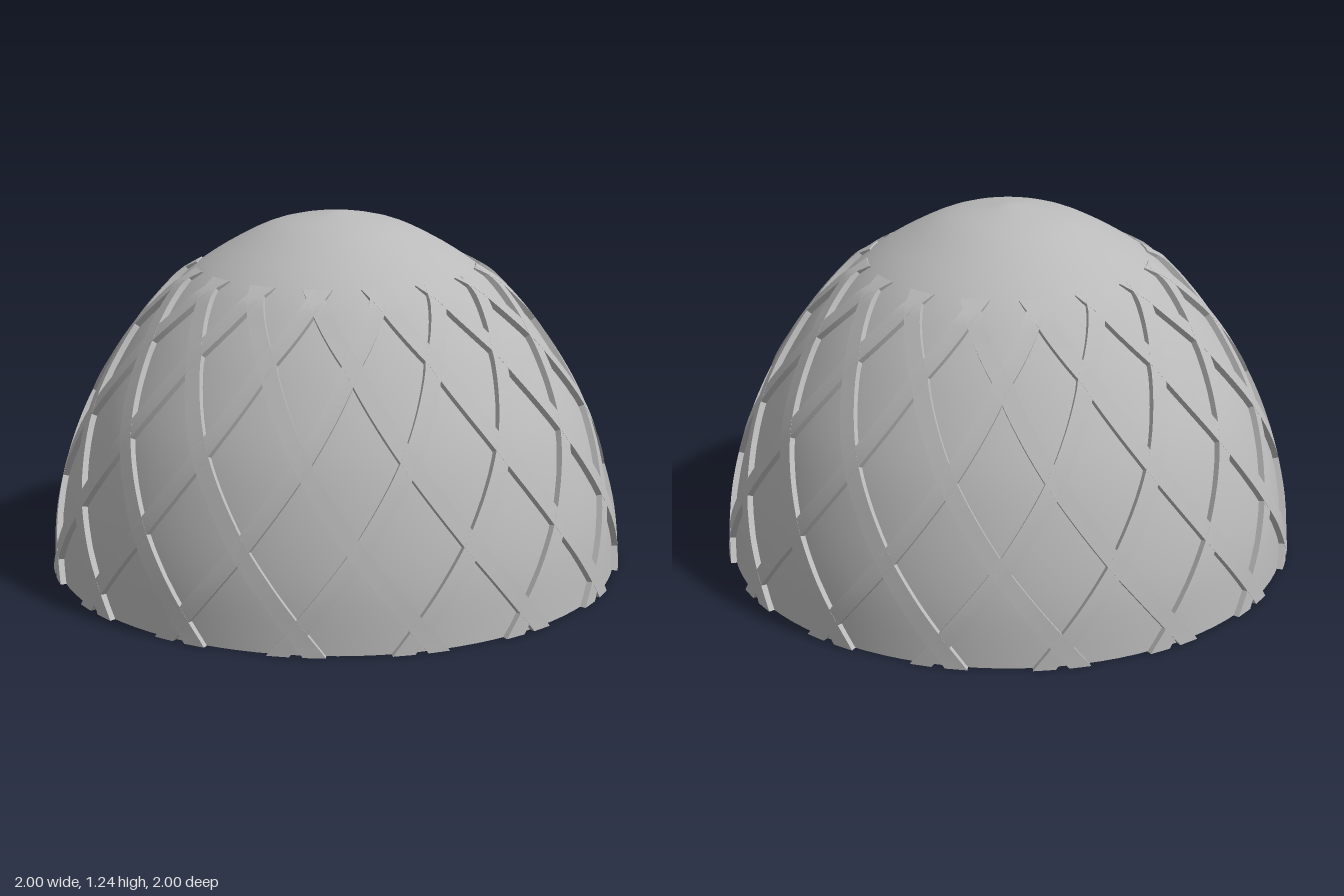
import * as THREE from 'three';
import { toCreasedNormals, mergeGeometries } from 'three/addons/utils/BufferGeometryUtils.js';

// outer dome profile (radius, height)
const profile = new THREE.SplineCurve([
  [0.985, 0], [0.965, 0.2], [0.915, 0.4], [0.835, 0.6], [0.71, 0.8],
  [0.6, 0.935], [0.49, 1.04], [0.35, 1.13], [0.2, 1.198], [0, 1.235],
].map(([r, y]) => new THREE.Vector2(r, y)));

// heights where the ribs cross; each level turns a rib by one sixteenth of a half turn
const levels = [-0.17, 0.07, 0.31, 0.57, 0.84, 1.02, 1.16];
const STEP = Math.PI / 16;

function levelAt(y) {
  let i = 0;
  while (i < levels.length - 2 && y > levels[i + 1]) i++;
  return i - 1 + (y - levels[i]) / (levels[i + 1] - levels[i]);
}

// one helical rib: horizontal slices swept up the dome, with separate side and top strips
function ribGeometry(direction) {
  const n = 40, tEnd = 0.675, width = 0.055, rows = [];
  for (let i = 0; i <= n; i++) {
    const t = (i / n) * tEnd;
    const p = profile.getPoint(t), q = profile.getPoint(t + 0.005);
    const ds = p.distanceTo(q);
    const nr = (q.y - p.y) / ds, ny = (p.x - q.x) / ds;
    const turn = (levelAt(q.y) - levelAt(p.y)) * STEP * p.x;
    const half = (width / 2) * Math.hypot(ds, turn) / ds / p.x;
    const angle = STEP + direction * levelAt(p.y) * STEP;
    const h = 0.02 * Math.min(1, (1.065 - p.y) / 0.07);
    const at = (a, d) => {
      const r = p.x + nr * d;
      return [Math.sin(a) * r, i === 0 ? 0 : Math.max(0, p.y + ny * d), Math.cos(a) * r];
    };
    rows.push([at(angle - half, -0.02), at(angle - half, h),
      at(angle + half, h), at(angle + half, -0.02)]);
  }
  const pos = [];
  for (let i = 0; i < n; i++) {
    for (let k = 0; k < 3; k++) {
      const a = rows[i][k], b = rows[i][k + 1], c = rows[i + 1][k + 1], d = rows[i + 1][k];
      pos.push(...a, ...b, ...c, ...a, ...c, ...d);
    }
  }
  // end faces at the rim and near the cap
  const [a, b, c, d] = rows[0], [e, f, g, o] = rows[n];
  pos.push(...a, ...c, ...b, ...a, ...d, ...c, ...e, ...f, ...g, ...e, ...g, ...o);
  const geo = new THREE.BufferGeometry();
  geo.setAttribute('position', new THREE.Float32BufferAttribute(pos, 3));
  return toCreasedNormals(geo, 0.6);
}

export function createModel() {
  const group = new THREE.Group();
  group.name = 'latticeDomeCap';
  const grey = new THREE.MeshStandardMaterial({ color: 0xbababa });
  grey.name = 'grey';

  // hollow underside with two thread ridges, flat rim, then the outer dome
  const inside = [
    [0, 0.28], [0.84, 0.28],
    [0.84, 0.23], [0.805, 0.21], [0.805, 0.19], [0.84, 0.17],
    [0.84, 0.14], [0.805, 0.12], [0.805, 0.1], [0.84, 0.08],
    [0.84, 0.04], [0.9, 0],
  ].map(([r, y]) => new THREE.Vector2(r, y));
  const shell = new THREE.LatheGeometry([...inside, ...profile.getPoints(36)], 96);
  const dome = new THREE.Mesh(toCreasedNormals(shell, 0.45), grey);
  dome.name = 'domeShell';
  group.add(dome);

  // sixteen ribs winding each way
  for (const [direction, name] of [[1, 'ribsWindingLeft'], [-1, 'ribsWindingRight']]) {
    const rib = ribGeometry(direction);
    const copies = [];
    for (let i = 0; i < 16; i++) copies.push(rib.clone().rotateY(i * STEP * 2));
    const mesh = new THREE.Mesh(mergeGeometries(copies), grey);
    mesh.name = name;
    group.add(mesh);
  }
  return group;
}
